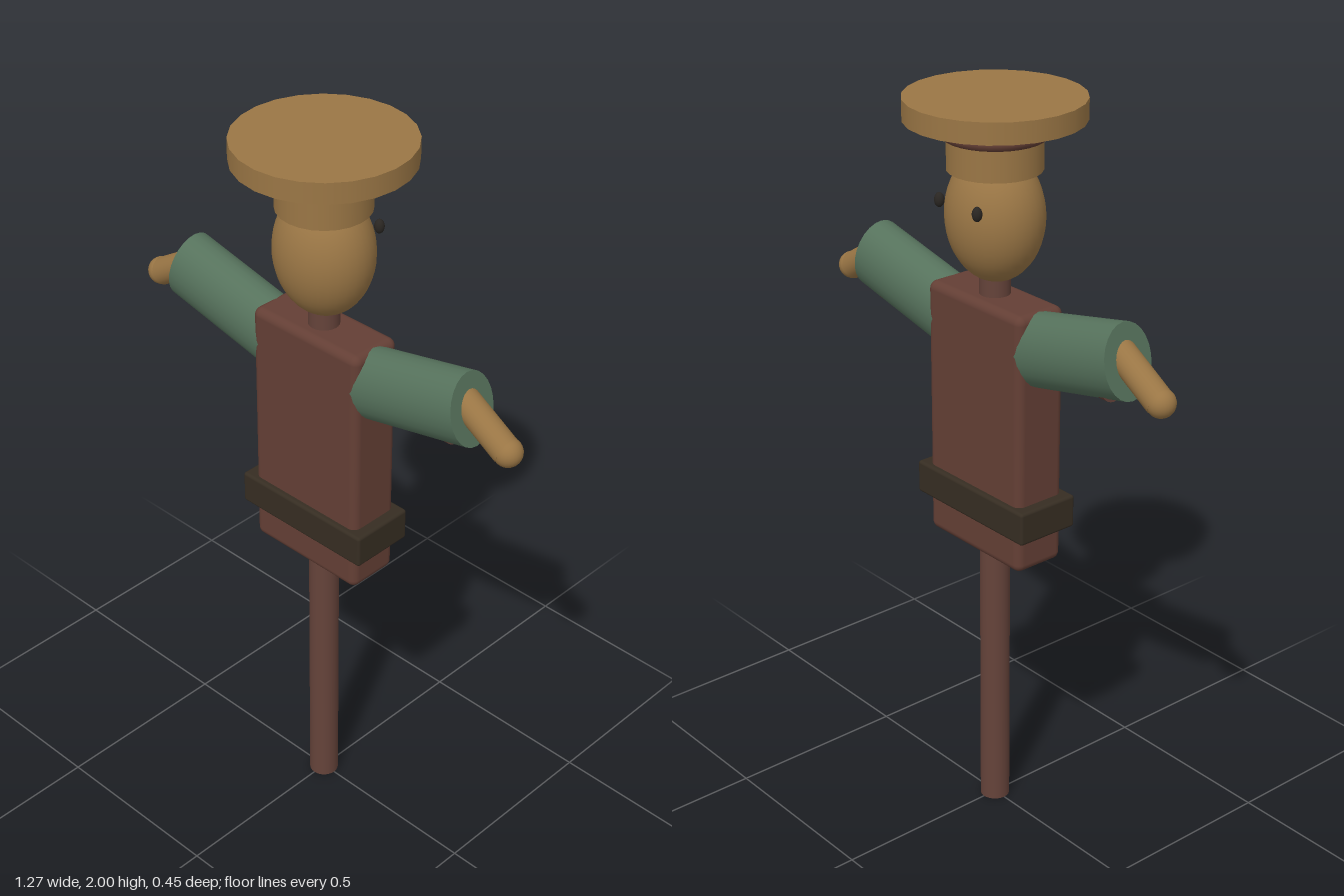
import * as THREE from 'three';
import { RoundedBoxGeometry } from 'three/addons/geometries/RoundedBoxGeometry.js';

export function createModel() {
  const group = new THREE.Group();
  group.name = 'scarecrow';

  const material = (name, color) => {
    const m = new THREE.MeshStandardMaterial({ color });
    m.name = name;
    return m;
  };
  const straw = material('straw', 0x9a7645);
  const brown = material('brown cloth', 0x643f35);
  const wood = material('wood', 0x65433a);
  const green = material('green cloth', 0x56725c);
  const dark = material('dark leather', 0x362d22);
  const black = material('eye black', 0x2a2622);

  const add = (name, geometry, mat, x = 0, y = 0, z = 0) => {
    const mesh = new THREE.Mesh(geometry, mat);
    mesh.name = name;
    mesh.position.set(x, y, z);
    group.add(mesh);
    return mesh;
  };

  // Cylinder between two points in the xy plane
  const rod = (name, a, b, radius, mat) => {
    const start = new THREE.Vector3(a[0], a[1], 0);
    const end = new THREE.Vector3(b[0], b[1], 0);
    const dir = end.clone().sub(start);
    const mesh = add(name, new THREE.CylinderGeometry(radius, radius, dir.length(), 24), mat);
    mesh.position.copy(start).add(end).multiplyScalar(0.5);
    mesh.rotation.z = Math.atan2(-dir.x, dir.y);
    return mesh;
  };

  // Wooden frame
  rod('pole', [0, 0], [0, 1.6], 0.04, wood);
  rod('crossbar', [-0.44, 1.387], [0.44, 1.387], 0.04, wood);

  // Body and belt
  add('body', new RoundedBoxGeometry(0.36, 0.705, 0.15, 4, 0.022), brown, 0, 1.1425);
  add('belt', new RoundedBoxGeometry(0.42, 0.09, 0.18, 3, 0.008), dark, 0, 0.935);

  // Arms, mirrored: oval sleeve, straw wrist, round hand
  for (const [side, s] of [['left', 1], ['right', -1]]) {
    const sleeve = rod(side + 'Sleeve', [s * 0.14, 1.389], [s * 0.484, 1.465], 0.097, green);
    sleeve.scale.z = 0.075 / 0.097;
    rod(side + 'Wrist', [s * 0.44, 1.493], [s * 0.594, 1.398], 0.037, straw);
    add(side + 'Hand', new THREE.SphereGeometry(0.037, 24, 16), straw, s * 0.598, 1.398);
    // Eyes look toward the back
    const eye = add(side + 'Eye', new THREE.SphereGeometry(1, 16, 12), black, s * 0.072, 1.745, -0.117);
    eye.scale.set(0.013, 0.019, 0.013);
  }

  // Head
  const head = add('head', new THREE.SphereGeometry(1, 32, 24), straw, 0, 1.7);
  head.scale.set(0.134, 0.17, 0.12);

  // Hat: crown, band and flat disc on top
  add('hatCrown', new THREE.CylinderGeometry(0.12, 0.12, 0.14, 24), straw, 0, 1.888);
  const band = add('hatBand', new THREE.TorusGeometry(0.12, 0.018, 12, 32), brown, 0, 1.915);
  band.rotation.x = Math.PI / 2;
  add('hatDisc', new THREE.CylinderGeometry(0.227, 0.227, 0.055, 24), straw, 0, 1.9725);

  return group;
}
